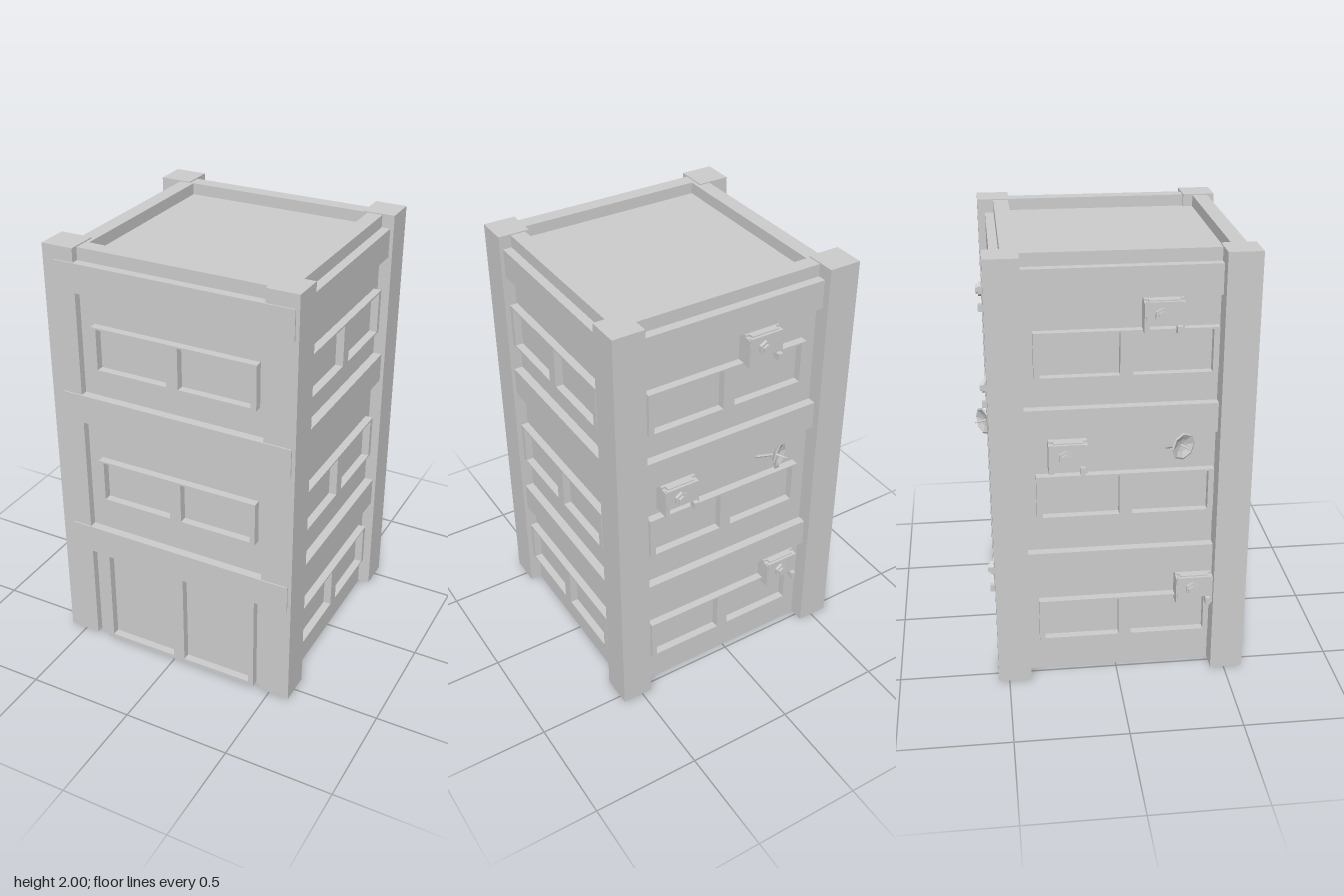
import * as THREE from 'three';

const grey = new THREE.MeshStandardMaterial({ color: 0xcccccc, flatShading: true, side: THREE.DoubleSide });
const HALF = 0.5105; // half width of the square body
const CX = 0.0325, CZ = 0.0375; // body centre

function add(parent, name, geometry, x = 0, y = 0, z = 0) {
  const mesh = new THREE.Mesh(geometry, grey);
  mesh.name = name;
  mesh.position.set(x, y, z);
  parent.add(mesh);
  return mesh;
}

// Box given by its minimum and maximum corners
function box(parent, name, x0, x1, y0, y1, z0, z1) {
  return add(parent, name, new THREE.BoxGeometry(x1 - x0, y1 - y0, z1 - z0),
    (x0 + x1) / 2, (y0 + y1) / 2, (z0 + z1) / 2);
}

function rect(target, x0, x1, y0, y1) {
  target.moveTo(x0, y0);
  target.lineTo(x1, y0);
  target.lineTo(x1, y1);
  target.lineTo(x0, y1);
  target.closePath();
  return target;
}

// Raised frame with two openings
function frame(parent, name, y0, y1, border) {
  const shape = rect(new THREE.Shape(), -0.39, 0.39, y0, y1);
  shape.holes.push(rect(new THREE.Path(), -0.365, -0.028, y0 + border, y1 - border));
  shape.holes.push(rect(new THREE.Path(), 0.028, 0.365, y0 + border, y1 - border));
  add(parent, name, new THREE.ExtrudeGeometry(shape, { depth: 0.036, bevelEnabled: false }), 0, 0, HALF);
}

// Wall-mounted box with a hexagonal knob, side cheeks and a small nub
function wallUnit(parent, x, y) {
  const unit = new THREE.Group();
  unit.name = 'wallUnit';
  unit.position.set(x, y, HALF);
  parent.add(unit);
  box(unit, 'unitBody', -0.065, 0.065, -0.045, 0.06, 0, 0.066);
  box(unit, 'unitBack', -0.084, 0.084, -0.06, 0.06, 0, 0.042);
  box(unit, 'unitFace', -0.078, 0.078, -0.045, 0.055, 0.06, 0.078);
  for (const s of [-1, 1])
    box(unit, 'unitCheek', s * 0.073 - 0.011, s * 0.073 + 0.011, -0.08, 0.05, 0, 0.076);
  add(unit, 'knobBase', new THREE.CylinderGeometry(0.034, 0.034, 0.016, 6), -0.01, 0, 0.084).rotation.x = Math.PI / 2;
  add(unit, 'knob', new THREE.CylinderGeometry(0.022, 0.022, 0.02, 6), -0.01, 0, 0.093).rotation.x = Math.PI / 2;
  box(unit, 'nub', 0.05, 0.072, -0.08, -0.047, 0.06, 0.096);
}

// Small tilted dish on an arm
function dish(parent, x, y) {
  const group = new THREE.Group();
  group.name = 'dish';
  group.position.set(x, y, 0.6);
  group.rotation.y = 0.5;
  parent.add(group);
  const profile = [[0, -0.018], [0.035, -0.012], [0.063, 0.006], [0.055, 0.01], [0.03, -0.002], [0, -0.008]]
    .map(([r, h]) => new THREE.Vector2(r, h));
  add(group, 'dishBowl', new THREE.LatheGeometry(profile, 8)).rotation.x = Math.PI / 2;
  add(group, 'dishSpike', new THREE.CylinderGeometry(0.003, 0.006, 0.055, 6), 0, 0, 0.018).rotation.x = Math.PI / 2;
  const arm = new THREE.LineCurve3(new THREE.Vector3(0, 0, -0.012), new THREE.Vector3(0, -0.05, -0.11));
  add(group, 'dishArm', new THREE.TubeGeometry(arm, 1, 0.007, 6));
}

export function createModel() {
  const model = new THREE.Group();
  model.name = 'tower';

  // Corner pillars
  for (const [x0, x1] of [[-0.575, -0.426], [0.455, 0.6]])
    for (const [z0, z1] of [[-0.548, -0.4], [0.434, 0.582]])
      box(model, 'pillar', x0, x1, 0.01, 2, z0, z1);

  // Core, recessed roof and rim
  const body = new THREE.Group();
  body.name = 'body';
  body.position.set(CX, 0, CZ);
  model.add(body);
  box(body, 'core', -HALF, HALF, 0, 1.942, -HALF, HALF);
  const rim = rect(new THREE.Shape(), -HALF, HALF, -HALF, HALF);
  rim.holes.push(rect(new THREE.Path(), -0.441, 0.441, -0.441, 0.441));
  add(body, 'roofRim', new THREE.ExtrudeGeometry(rim, { depth: 0.053, bevelEnabled: false }), 0, 1.942, 0)
    .rotation.x = -Math.PI / 2;

  // Horizontal bands around the body
  for (const [y0, y1] of [[0.5, 0.635], [1.19, 1.325], [1.805, 1.938]])
    box(body, 'band', -0.551, 0.551, y0, y1, -0.551, 0.551);

  // Four facades: front, right image side, back, other side
  for (let i = 0; i < 4; i++) {
    const facade = new THREE.Group();
    facade.name = ['frontFacade', 'leftFacade', 'backFacade', 'rightFacade'][i];
    facade.rotation.y = i * Math.PI / 2;
    body.add(facade);
    frame(facade, 'upperWindow', 1.46, 1.665, 0.008);
    frame(facade, 'middleWindow', 0.805, 1.01, 0.008);
    if (i === 0) frame(facade, 'door', 0.012, 0.51, 0.02);
    else frame(facade, 'lowerWindow', 0.178, 0.382, 0.008);
    if (i >= 2) {
      wallUnit(facade, 0.15, 1.74);
      wallUnit(facade, -0.253, 1.12);
      wallUnit(facade, 0.313, 0.433);
      dish(facade, 0.235, 1.155);
    }
  }
  return model;
}
